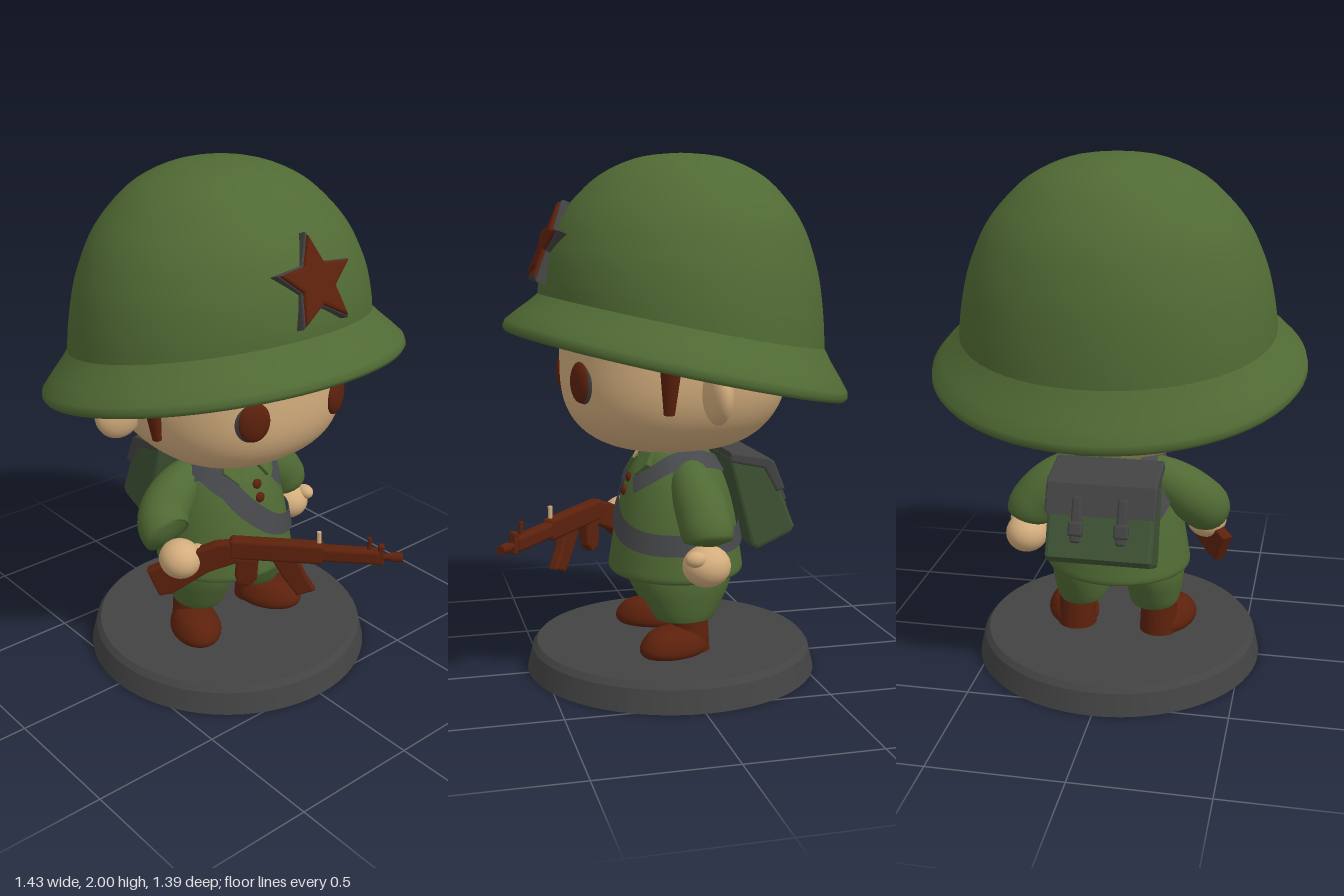
import * as THREE from 'three';
import { mergeVertices } from 'three/addons/utils/BufferGeometryUtils.js';
import { RoundedBoxGeometry } from 'three/addons/geometries/RoundedBoxGeometry.js';

const mat = (name, color) => new THREE.MeshStandardMaterial({ name, color });
const green = mat('uniform green', 0x506a34);
const packGreen = mat('pack green', 0x3e5234);
const skin = mat('skin', 0xd3ad7d);
const brown = mat('red brown', 0x5c210c);
const grey = mat('dark grey', 0x434344);
const strapGrey = mat('strap grey', 0x47484b);
strapGrey.side = THREE.DoubleSide;

const V = (x, y, z) => new THREE.Vector3(x, y, z);

function add(parent, name, geo, material, pos = [0, 0, 0], rot = [0, 0, 0], scale = [1, 1, 1]) {
  const m = new THREE.Mesh(geo, material);
  m.name = name;
  m.position.set(...pos);
  m.rotation.set(...rot);
  m.scale.set(...scale);
  parent.add(m);
}

const ball = (parent, name, material, pos, radii, rot) =>
  add(parent, name, new THREE.SphereGeometry(1, 32, 20), material, pos, rot, radii);

const lathe = (pts, seg = 64) => new THREE.LatheGeometry(pts.map(p => new THREE.Vector2(...p)), seg);

// Smooth lathe through a few profile points
const smoothLathe = (pts, seg = 64, n = 28) =>
  lathe(new THREE.SplineCurve(pts.map(p => new THREE.Vector2(...p))).getPoints(n).map(p => [Math.max(p.x, 0), p.y]), seg);

// Move every vertex by a rule, then smooth again across the seam
function reshape(g, rule) {
  const pos = g.attributes.position;
  for (let i = 0; i < pos.count; i++) pos.setXYZ(i, ...rule(pos.getX(i), pos.getY(i), pos.getZ(i)));
  g.deleteAttribute('uv');
  g.deleteAttribute('normal');
  const merged = mergeVertices(g, 1e-5);
  merged.computeVertexNormals();
  return merged;
}

// Flat outline with thickness, centred on z = 0
function plate(pts, depth, bevel = 0.008) {
  const g = new THREE.ExtrudeGeometry(new THREE.Shape(pts.map(p => new THREE.Vector2(...p))),
    { depth: depth - 2 * bevel, bevelEnabled: bevel > 0, bevelSize: bevel, bevelThickness: bevel, bevelSegments: 2 });
  return g.translate(0, 0, -depth / 2 + bevel);
}

// Tube whose radius changes along the path
function limb(pts, radii) {
  const n = 30, curve = new THREE.CatmullRomCurve3(pts.map(p => V(...p)));
  const g = new THREE.TubeGeometry(curve, n, 1, 20);
  let q = 0;
  return reshape(g, (x, y, z) => {
    const i = Math.floor(q++ / 21), c = curve.getPointAt(i / n);
    const f = i / n * (radii.length - 1), k = Math.min(Math.floor(f), radii.length - 2);
    const r = THREE.MathUtils.lerp(radii[k], radii[k + 1], f - k);
    return V(x, y, z).sub(c).multiplyScalar(r).add(c).toArray();
  });
}

// Jacket profile, shared with the straps that lie on it
const JACKET = [[0.26, 0.385], [0.285, 0.4], [0.28, 0.45], [0.265, 0.54], [0.25, 0.62], [0.225, 0.71], [0.19, 0.79], [0.14, 0.86], [0.09, 0.885]];
const JZ = 0.92, JC = -0.03;
function jacketPoint(a, y, lift) {
  let k = 0;
  while (k < JACKET.length - 2 && JACKET[k + 1][1] < y) k++;
  const [r0, y0] = JACKET[k], [r1, y1] = JACKET[k + 1];
  const r = r0 + (r1 - r0) * (y - y0) / (y1 - y0) + lift;
  return [Math.sin(a) * r, y, Math.cos(a) * r * JZ + JC];
}

// Strap through [angle, height] stations round the jacket
function strap(stations, width, lift = 0.014) {
  const curve = new THREE.SplineCurve(stations.map(s => new THREE.Vector2(...s)));
  const n = 80, verts = [], idx = [];
  for (let i = 0; i <= n; i++) {
    const p = curve.getPoint(i / n), t = curve.getTangent(i / n), r = 0.22;
    const ds = t.x * r, len = Math.hypot(ds, t.y);
    for (const s of [-0.5, 0.5]) {
      verts.push(...jacketPoint(p.x - s * width * t.y / len / r, p.y + s * width * ds / len, lift));
    }
    if (i < n) idx.push(2 * i, 2 * i + 2, 2 * i + 1, 2 * i + 1, 2 * i + 2, 2 * i + 3);
  }
  const g = new THREE.BufferGeometry();
  g.setAttribute('position', new THREE.Float32BufferAttribute(verts, 3));
  g.setIndex(idx);
  g.computeVertexNormals();
  return g;
}

function starPoints(R, r) {
  return Array.from({ length: 10 }, (_, i) => {
    const a = Math.PI / 2 + i * Math.PI / 5, q = i % 2 ? r : R;
    return [Math.cos(a) * q, Math.sin(a) * q];
  });
}

function buildHelmet(root) {
  // Upright dome whose lower edge leans to meet the tilted brim
  const dome = smoothLathe([[0.6, 1.33], [0.597, 1.37], [0.587, 1.45], [0.566, 1.55], [0.539, 1.63], [0.492, 1.73], [0.424, 1.82], [0.318, 1.915], [0.17, 1.98], [0, 2]], 72, 40);
  add(root, 'helmetDome', reshape(dome, (x, y, z) => {
    const t = (y - 1.33) / 0.67, zz = z * (0.912 + 0.07 * t);
    return [x, y + 0.21 * zz * (1 - t) ** 2, zz];
  }), green, [0, 0, -0.05]);
  add(root, 'helmetBrim', lathe([[0.3, 0.32], [0.56, 0.1], [0.685, -0.035], [0.705, -0.035], [0.715, -0.02], [0.71, 0.005], [0.67, 0.05], [0.625, 0.097], [0.595, 0.133], [0.565, 0.17]], 72),
    green, [0, 1.23, -0.03], [-0.215, 0, 0], [1, 1, 0.943]);
  const star = new THREE.Group();
  star.name = 'helmetStar';
  star.position.set(0, 1.65, 0.45);
  star.rotation.x = -0.38;
  root.add(star);
  add(star, 'starBacking', plate(starPoints(0.166, 0.075), 0.06), grey, [0, 0, -0.005]);
  add(star, 'starFace', plate(starPoints(0.15, 0.064), 0.035, 0.012), brown, [0, 0, 0.02]);
}

function buildHead(root) {
  // Head: round in plan, boxier in profile
  add(root, 'head', reshape(new THREE.SphereGeometry(1, 64, 48), (x, y, z) => {
    const q = 2.35, p = 2.75 + 0.35 * z;
    const h = (Math.abs(x) ** q + Math.abs(z) ** q) ** (1 / q);
    const s = (h ** p + Math.abs(y) ** p) ** (-1 / p);
    return [x * s * 0.43, y * s * (y < 0 ? 0.365 : 0.45), z * s * 0.435];
  }), skin, [0, 1.235, -0.02]);
  add(root, 'neck', new THREE.CylinderGeometry(0.085, 0.1, 0.1, 24), skin, [0, 0.87, -0.02]);
  for (const s of [-1, 1]) {
    ball(root, 'eye', brown, [s * 0.2, 1.16, 0.378], [0.061, 0.077, 0.026], [0, s * 0.38, 0]);
    ball(root, 'eyeRim', grey, [s * 0.202, 1.16, 0.366], [0.066, 0.081, 0.026], [0, s * 0.38, 0]);
    add(root, 'eyebrow', new THREE.BoxGeometry(0.06, 0.01, 0.009), brown, [s * 0.2, 1.322, 0.376], [0, s * 0.36, 0]);
    ball(root, 'ear', skin, [s * 0.47, 1.135, -0.065], [0.105, 0.11, 0.05], [0, 0, -s * 0.35]);
    add(root, 'sideburn', new THREE.CylinderGeometry(0.055, 0.022, 0.27, 16), brown, [s * 0.44, 1.195, 0.1], [0, 0, -s * 0.13], [0.72, 1, 0.92]);
  }
}

function buildBody(root) {
  add(root, 'jacket', smoothLathe([[0, 0.375], [0.2, 0.376], ...JACKET], 56, 50), green, [0, 0, JC], [0, 0, 0], [1, 1, JZ]);
  ball(root, 'hips', green, [0, 0.39, -0.03], [0.2, 0.065, 0.17]);
  for (const s of [-1, 1]) {
    // Trouser legs taper front to back
    const leg = smoothLathe([[0, 0.225], [0.08, 0.225], [0.097, 0.24], [0.11, 0.3], [0.117, 0.36], [0.115, 0.43]], 36);
    add(root, 'trouserLeg', reshape(leg, (x, y, z) => [x, y, z * (1.2 + 2.4 * (Math.min(y, 0.39) - 0.225))]), green, [s * 0.147, 0, -0.028]);
    const boot = new THREE.Group();
    boot.name = 'boot';
    boot.position.set(s * 0.168, 0.1, -0.045);
    boot.rotation.y = s * 0.4;
    root.add(boot);
    add(boot, 'bootShaft', new THREE.CylinderGeometry(0.07, 0.078, 0.145, 24), brown, [0, 0.073, 0]);
    add(boot, 'bootFoot', smoothLathe([[0.085, 0], [0.099, 0.02], [0.097, 0.05], [0.073, 0.09], [0.03, 0.107], [0, 0.109]], 32),
      brown, [0, 0, 0.075], [0, 0, 0], [1, 1, 1.45]);
    // Collar flap and shoulder strap
    const flap = [[0.015, 0.035], [0.1, 0.055], [0.115, 0.01], [0.075, -0.045]].map(([x, y]) => [s * x, y]);
    add(root, 'collarFlap', plate(flap, 0.025, 0.006), green, [0, 0.83, 0.133], [-0.55, s * 0.25, 0]);
    add(root, 'shoulderStrap', strap([[s * 0.45, 0.745], [s * 0.75, 0.785], [s * 1.2, 0.835], [s * 1.9, 0.85], [s * 2.6, 0.82]], 0.062, 0.024), strapGrey);
  }
  add(root, 'neckOpening', plate([[-0.04, 0.03], [0.04, 0.03], [0, -0.035]], 0.009, 0), skin, [0, 0.862, 0.118], [-0.65, 0, 0]);
  add(root, 'sling', strap([[-1, 0.845], [-0.62, 0.78], [-0.2, 0.675], [0.25, 0.585], [0.8, 0.545], [1.57, 0.54], [2.4, 0.54], [3.1, 0.58], [3.8, 0.66], [4.6, 0.79], [5.28, 0.845]], 0.08), strapGrey);
  for (const y of [0.76, 0.71]) ball(root, 'button', brown, [0.01, y, jacketPoint(0, y, 0)[2]], [0.021, 0.021, 0.014]);

  // Arms and hands
  const sleeve = [0.07, 0.074, 0.078, 0.082, 0.086, 0.09, 0.094, 0.097, 0.099, 0.1, 0.1, 0.1, 0.1, 0.097, 0.088, 0];
  add(root, 'leftArm', limb([[0.11, 0.785, -0.05], [0.21, 0.745, -0.05], [0.3, 0.665, -0.06], [0.35, 0.595, -0.065], [0.366, 0.55, -0.065]], sleeve), green);
  ball(root, 'leftHand', skin, [0.37, 0.487, -0.055], [0.085, 0.078, 0.09]);
  ball(root, 'leftThumb', skin, [0.42, 0.528, 0.0], [0.032, 0.03, 0.04]);
  add(root, 'rightArm', limb([[-0.11, 0.785, -0.05], [-0.21, 0.745, -0.05], [-0.305, 0.67, -0.025], [-0.342, 0.62, 0.02], [-0.345, 0.595, 0.06]], sleeve), green);
  ball(root, 'rightHand', skin, [-0.335, 0.535, 0.11], [0.08, 0.076, 0.085]);
  ball(root, 'rightThumb', skin, [-0.275, 0.56, 0.145], [0.03, 0.028, 0.04]);
}

function buildPack(root) {
  const pack = new THREE.Group();
  pack.name = 'backpack';
  root.add(pack);
  // Side profiles run from the wearer's back outwards
  const side = [0, Math.PI / 2, 0];
  add(pack, 'packBody', plate([[0.205, 0.84], [0.345, 0.82], [0.443, 0.575], [0.435, 0.56], [0.31, 0.505], [0.295, 0.515]], 0.4, 0.014), packGreen, [0, 0, 0], side);
  add(pack, 'packFlap', plate([[0.2, 0.868], [0.345, 0.842], [0.365, 0.828], [0.405, 0.73], [0.385, 0.725], [0.335, 0.815], [0.2, 0.845]], 0.415), grey, [0, 0, 0], side);
  for (const s of [-1, 1]) {
    add(pack, 'packStrap', new RoundedBoxGeometry(0.038, 0.17, 0.025, 2, 0.01), grey, [s * 0.085, 0.71, -0.418], [0.38, 0, 0]);
    add(pack, 'packBuckle', new RoundedBoxGeometry(0.055, 0.055, 0.03, 2, 0.01), grey, [s * 0.085, 0.68, -0.433], [0.38, 0, 0]);
  }
}

function buildGun(root) {
  const gun = new THREE.Group();
  gun.name = 'rifle';
  gun.position.set(-0.15, 0, 0.29);
  gun.rotation.y = -0.75;
  root.add(gun);
  add(gun, 'stock', plate([[-0.375, 0.485], [-0.335, 0.39], [-0.29, 0.4], [-0.15, 0.5], [-0.04, 0.545], [-0.04, 0.615], [-0.12, 0.605], [-0.2, 0.57]], 0.05), brown);
  add(gun, 'receiver', new RoundedBoxGeometry(0.36, 0.085, 0.055, 3, 0.015), brown, [0.11, 0.588, 0], [0, 0, -0.04]);
  add(gun, 'handguard', new RoundedBoxGeometry(0.24, 0.06, 0.05, 3, 0.015), brown, [0.38, 0.577, 0], [0, 0, -0.04]);
  add(gun, 'barrel', new THREE.CylinderGeometry(0.013, 0.013, 0.16, 14), brown, [0.5, 0.57, 0], [0, 0, Math.PI / 2]);
  add(gun, 'muzzle', new THREE.CylinderGeometry(0.02, 0.018, 0.045, 14), brown, [0.565, 0.57, 0], [0, 0, Math.PI / 2]);
  add(gun, 'frontSightBlock', new RoundedBoxGeometry(0.025, 0.085, 0.03, 2, 0.008), brown, [0.505, 0.58, 0]);
  add(gun, 'magazine', plate([[0.1, 0.55], [0.185, 0.55], [0.215, 0.48], [0.25, 0.425], [0.195, 0.405], [0.145, 0.475]], 0.04), brown);
  add(gun, 'grip', plate([[-0.035, 0.55], [0.035, 0.55], [0.03, 0.47], [0.005, 0.445], [-0.03, 0.45], [-0.04, 0.48]], 0.045), brown);
  add(gun, 'rearSightPost', new THREE.CylinderGeometry(0.009, 0.009, 0.06, 10), skin, [0.27, 0.64, 0]);
  add(gun, 'frontSightPost', new THREE.CylinderGeometry(0.009, 0.009, 0.06, 10), brown, [0.46, 0.62, 0]);
}

export function createModel() {
  const root = new THREE.Group();
  root.name = 'toySoldier';
  // Round stand
  add(root, 'base', new THREE.CylinderGeometry(0.548, 0.568, 0.085, 64), grey, [0, 0.0425, -0.01]);
  add(root, 'baseRim', new THREE.CylinderGeometry(0.53, 0.548, 0.022, 64), grey, [0, 0.096, -0.01]);
  buildBody(root);
  buildPack(root);
  buildGun(root);
  buildHead(root);
  buildHelmet(root);
  return root;
}
